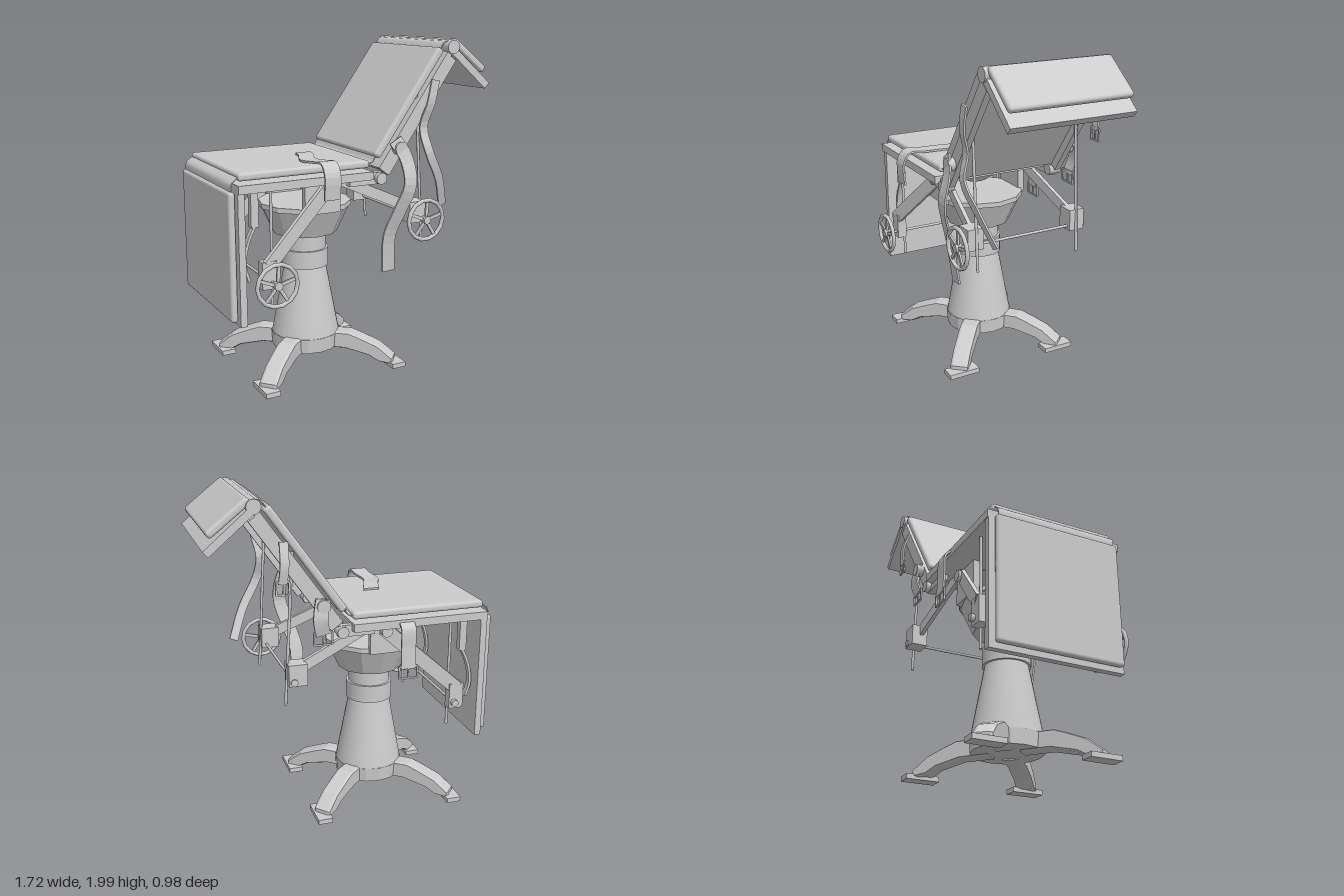
import * as THREE from 'three';
import { RoundedBoxGeometry } from 'three/addons/geometries/RoundedBoxGeometry.js';

const mat = new THREE.MeshStandardMaterial({ color: 0xcccccc });
const flat = new THREE.MeshStandardMaterial({ color: 0xcccccc, flatShading: true });
const V = (x, y, z) => new THREE.Vector3(x, y, z);
const ZC = -0.02; // middle of the upholstery in z

export function createModel() {
  const root = new THREE.Group();

  const add = (name, geo, x = 0, y = 0, z = 0, m = mat, parent = root) => {
    const mesh = new THREE.Mesh(geo, m);
    mesh.name = name;
    mesh.position.set(x, y, z);
    parent.add(mesh);
    return mesh;
  };
  const box = (name, x0, x1, y0, y1, z0, z1) =>
    add(name, new THREE.BoxGeometry(x1 - x0, y1 - y0, z1 - z0), (x0 + x1) / 2, (y0 + y1) / 2, (z0 + z1) / 2);

  // Bar or round rod from a to b
  const bar = (name, a, b, w, h) => {
    const mesh = new THREE.Mesh(new THREE.BoxGeometry(w, h, a.distanceTo(b)), mat);
    mesh.name = name;
    mesh.position.copy(a).lerp(b, 0.5);
    mesh.lookAt(b);
    root.add(mesh);
    return mesh;
  };
  const rod = (name, a, b, r, sides = 8) => {
    const geo = new THREE.CylinderGeometry(r, r, a.distanceTo(b), sides).rotateX(Math.PI / 2);
    const mesh = new THREE.Mesh(geo, mat);
    mesh.name = name;
    mesh.position.copy(a).lerp(b, 0.5);
    mesh.lookAt(b);
    root.add(mesh);
  };

  // Thin band following a path; side fixes the width direction, else it lies in the xy plane
  const strap = (name, pts, width, side = null, thick = 0.012) => {
    const curve = new THREE.CatmullRomCurve3(pts), n = 20, pos = [], idx = [];
    for (let i = 0; i <= n; i++) {
      const p = curve.getPoint(i / n), t = curve.getTangent(i / n);
      const s = side ? side.clone() : t.clone().cross(V(0, 0, 1)).normalize();
      const up = s.clone().cross(t).normalize();
      for (const [a, b] of [[-1, -1], [1, -1], [1, 1], [-1, 1]]) {
        const q = p.clone().addScaledVector(s, a * width / 2).addScaledVector(up, b * thick / 2);
        pos.push(q.x, q.y, q.z);
      }
      if (i < n) for (let k = 0; k < 4; k++) {
        const a = i * 4 + k, b = i * 4 + (k + 1) % 4;
        idx.push(a, a + 4, b, b, a + 4, b + 4);
      }
    }
    const e = n * 4;
    idx.push(0, 1, 2, 0, 2, 3, e, e + 2, e + 1, e, e + 3, e + 2);
    const geo = new THREE.BufferGeometry();
    geo.setAttribute('position', new THREE.Float32BufferAttribute(pos, 3));
    geo.setIndex(idx);
    geo.computeVertexNormals();
    add(name, geo, 0, 0, 0, new THREE.MeshStandardMaterial({ color: 0xcccccc, flatShading: true, side: THREE.DoubleSide }));
  };

  // Pedestal column: [bottom y, top y, bottom radius, top radius, sides]
  const PX = -0.225, PZ = -0.015;
  for (const [name, y0, y1, r0, r1, s] of [
    ['baseHub', 0.1, 0.19, 0.21, 0.215, 16], ['column', 0.19, 0.62, 0.21, 0.13, 32],
    ['collar', 0.62, 0.73, 0.145, 0.145, 24], ['neck', 0.73, 0.84, 0.13, 0.13, 32],
    ['cup', 0.835, 1.0, 0.2, 0.275, 12], ['cupRim', 1.0, 1.03, 0.285, 0.285, 12]])
    add(name, new THREE.CylinderGeometry(r1, r0, y1 - y0, s), PX, (y0 + y1) / 2, PZ, s < 20 ? flat : mat);

  // Four arched legs with cross feet
  const legShape = new THREE.Shape();
  legShape.moveTo(0.1, 0.19);
  for (const [x, y] of [[0.29, 0.19], [0.36, 0.165], [0.47, 0.12], [0.56, 0.05], [0.56, 0.02],
    [0.48, 0.03], [0.42, 0.065], [0.27, 0.1], [0.1, 0.1]]) legShape.lineTo(x, y);
  const legGeo = new THREE.ExtrudeGeometry(legShape, {
    depth: 0.08, bevelEnabled: true, bevelSize: 0.008, bevelThickness: 0.015, bevelSegments: 1 }).translate(0, 0, -0.04);
  for (const sx of [1, -1]) for (const sz of [1, -1]) {
    const leg = add('leg', legGeo, PX, 0, PZ);
    leg.rotation.y = Math.atan2(-sz * 0.37, sx * 0.43);
    add('foot', new THREE.BoxGeometry(0.09, 0.03, 0.2), PX + sx * 0.425, 0.015, PZ + sz * 0.345);
  }

  // Seat yoke above the cup
  for (const s of [1, -1]) box('yokePlate', -0.36, -0.13, 1.0, 1.2, PZ + s * 0.265 - 0.02, PZ + s * 0.265 + 0.02);
  const saddle = new THREE.CylinderGeometry(0.25, 0.06, 0.09, 16);
  add('saddle', saddle, PX, 1.14, PZ).scale.x = 0.45;

  // Seat
  const pad = (name, len, thick, x, y, angle) => {
    const m = add(name, new RoundedBoxGeometry(len, thick, 0.77, 3, 0.018), x, y, ZC);
    m.rotation.z = angle;
  };
  pad('seatCushion', 0.82, 0.046, -0.395, 1.286, 0);
  box('seatBoard', -0.82, 0.02, 1.2, 1.248, -0.44, 0.4);

  // Hanging leg rest
  pad('legRestCushion', 0.745, 0.04, -0.845, 0.837, Math.PI / 2);
  box('legRestBoard', -0.82, -0.78, 0.44, 1.2, -0.435, 0.385);

  // Backrest and headrest
  const plank = (name, x0, y0, x1, y1, thick, z0, z1) =>
    bar(name, V(x0, y0, (z0 + z1) / 2), V(x1, y1, (z0 + z1) / 2), z1 - z0, thick);
  pad('backCushion', 0.755, 0.05, 0.285, 1.63, Math.atan2(0.613, 0.439));
  plank('backBoard', 0.09, 1.25, 0.565, 1.92, 0.035, -0.4, 0.37);
  for (const z of [-0.4, 0.33]) plank('backRail', 0.115, 1.23, 0.575, 1.885, 0.07, z, z + 0.04);
  pad('headCushion', 0.295, 0.046, 0.71, 1.89, Math.atan2(-0.185, 0.235));
  plank('headBoard', 0.57, 1.935, 0.84, 1.705, 0.045, -0.41, 0.375);
  rod('headHinge', V(0.575, 1.945, -0.415), V(0.575, 1.945, 0.385), 0.042, 16);

  // Flexible covers over the hinges
  const Z = V(0, 0, 1);
  const cover = (...p) => strap('hingeCover', p.map(([x, y]) => V(x, y, ZC)), 0.74, Z, 0.006);
  cover([-0.845, 1.2], [-0.84, 1.25], [-0.8, 1.285]);
  cover([0.01, 1.287], [0.04, 1.295], [0.06, 1.325]);
  cover([0.5, 1.93], [0.535, 1.975], [0.595, 1.97]);

  // Mechanisms on both sides
  for (const s of [1, -1]) {
    const z = (d) => PZ + s * d;
    // Pivot arm carrying the backrest
    box('hingeArm', -0.12, 0.1, 1.165, 1.235, z(0.36) - 0.02, z(0.36) + 0.02);
    rod('backPivot', V(0.08, 1.2, z(0.33)), V(0.08, 1.2, z(0.41)), 0.035, 12);
    rod('sidePivot', V(0.2, 1.37, z(0.38)), V(0.2, 1.37, z(0.43)), 0.04, 12);
    // Backrest lifting arm, gear block and screw
    bar('backLiftArm', V(-0.15, 1.2, z(0.28)), V(0.34, 0.98, z(0.34)), 0.025, 0.065);
    box('backGearBlock', 0.29, 0.4, 0.9, 1.03, z(0.345) - 0.05, z(0.345) + 0.05);
    rod('backScrew', V(0.355, 1.68, z(0.34)), V(0.41, 0.77, z(0.34)), 0.009);
    // Leg rest arm, gear block and screw
    bar('legLiftArm', V(-0.21, 1.16, z(0.29)), V(-0.65, 0.77, z(0.4)), 0.025, 0.085);
    rod('armPivot', V(-0.22, 1.15, z(0.26)), V(-0.22, 1.15, z(0.33)), 0.035, 12);
    box('legGearBlock', -0.69, -0.6, 0.64, 0.8, z(0.38) - 0.03, z(0.38) + 0.03);
    rod('legScrew', V(-0.61, 1.2, z(0.36)), V(-0.61, 0.52, z(0.36)), 0.009);
    // Leg rest bracket with curved spring
    box('legRestBracket', -0.725, -0.68, 0.99, 1.2, z(0.33) - 0.02, z(0.33) + 0.02);
    strap('bracketSpring', [V(-0.7, 1.0, z(0.33)), V(-0.745, 0.9, z(0.33)), V(-0.765, 0.78, z(0.33)), V(-0.74, 0.68, z(0.33))], 0.035, Z, 0.016);
  }

  // Hand wheels and cross shafts
  const wheel = (x, y, z, zBack) => {
    const g = new THREE.Group();
    g.name = 'handWheel';
    g.position.set(x, y, z);
    root.add(g);
    add('rim', new THREE.TorusGeometry(0.122, 0.013, 8, 14), 0, 0, 0, mat, g);
    add('hub', new THREE.CylinderGeometry(0.025, 0.025, 0.04, 12).rotateX(Math.PI / 2), 0, 0, 0, mat, g);
    for (let i = 0; i < 5; i++) {
      const spoke = add('spoke', new THREE.BoxGeometry(0.12, 0.02, 0.012).translate(0.06, 0, 0), 0, 0, 0, mat, g);
      spoke.rotation.z = 0.25 + i * Math.PI * 0.4;
    }
    rod('crossShaft', V(x, y, z), V(x, y, zBack), 0.009);
    rod('shaftEnd', V(x, y, zBack), V(x, y, zBack + 0.04), 0.022, 10);
  };
  wheel(0.37, 0.925, 0.432, -0.42);
  wheel(-0.63, 0.68, 0.465, -0.45);

  // Long loose straps
  const X = V(1, 0, 0);
  strap('seatStrap', [V(-0.24, 1.318, 0), V(-0.27, 1.325, 0.1), V(-0.315, 1.318, 0.22), V(-0.3, 1.325, 0.34),
    V(-0.295, 1.33, 0.44), V(-0.295, 1.27, 0.482), V(-0.295, 1.13, 0.478)], 0.1, X);
  strap('lowerBackStrap', [V(0.17, 1.42, 0.39), V(0.225, 1.32, 0.42), V(0.235, 1.16, 0.46), V(0.19, 1.0, 0.42),
    V(0.15, 0.84, 0.37), V(0.165, 0.61, 0.34)], 0.085);
  strap('upperBackStrap', [V(0.43, 1.76, 0.41), V(0.4, 1.62, 0.41), V(0.375, 1.48, 0.375), V(0.4, 1.33, 0.41),
    V(0.5, 1.16, 0.37), V(0.58, 0.97, 0.3)], 0.055);

  // Short straps with open buckles
  const buckled = (name, pts, w) => {
    strap(name, pts, w);
    const end = pts[pts.length - 1], h = w / 2 + 0.012;
    for (const s of [1, -1]) {
      bar('buckleSide', V(end.x + s * h, end.y + 0.015, end.z), V(end.x + s * h, end.y - 0.06, end.z), 0.01, 0.01);
      const y = end.y - 0.022 + s * 0.037;
      bar('buckleBar', V(end.x - h, y, end.z), V(end.x + h, y, end.z), 0.01, 0.01);
    }
    bar('bucklePin', V(end.x, end.y, end.z), V(end.x, end.y - 0.06, end.z), 0.008, 0.008);
  };
  buckled('seatBuckleStrap', [V(-0.3, 1.23, -0.44), V(-0.3, 1.2, -0.47), V(-0.3, 1.08, -0.475), V(-0.3, 0.96, -0.48)], 0.09);
  buckled('lowerBuckleStrap', [V(0.2, 1.41, -0.42), V(0.22, 1.3, -0.44), V(0.2, 1.2, -0.42)], 0.085);
  buckled('upperBuckleStrap', [V(0.42, 1.75, -0.42), V(0.425, 1.63, -0.455), V(0.435, 1.52, -0.445)], 0.05);

  return root;
}
